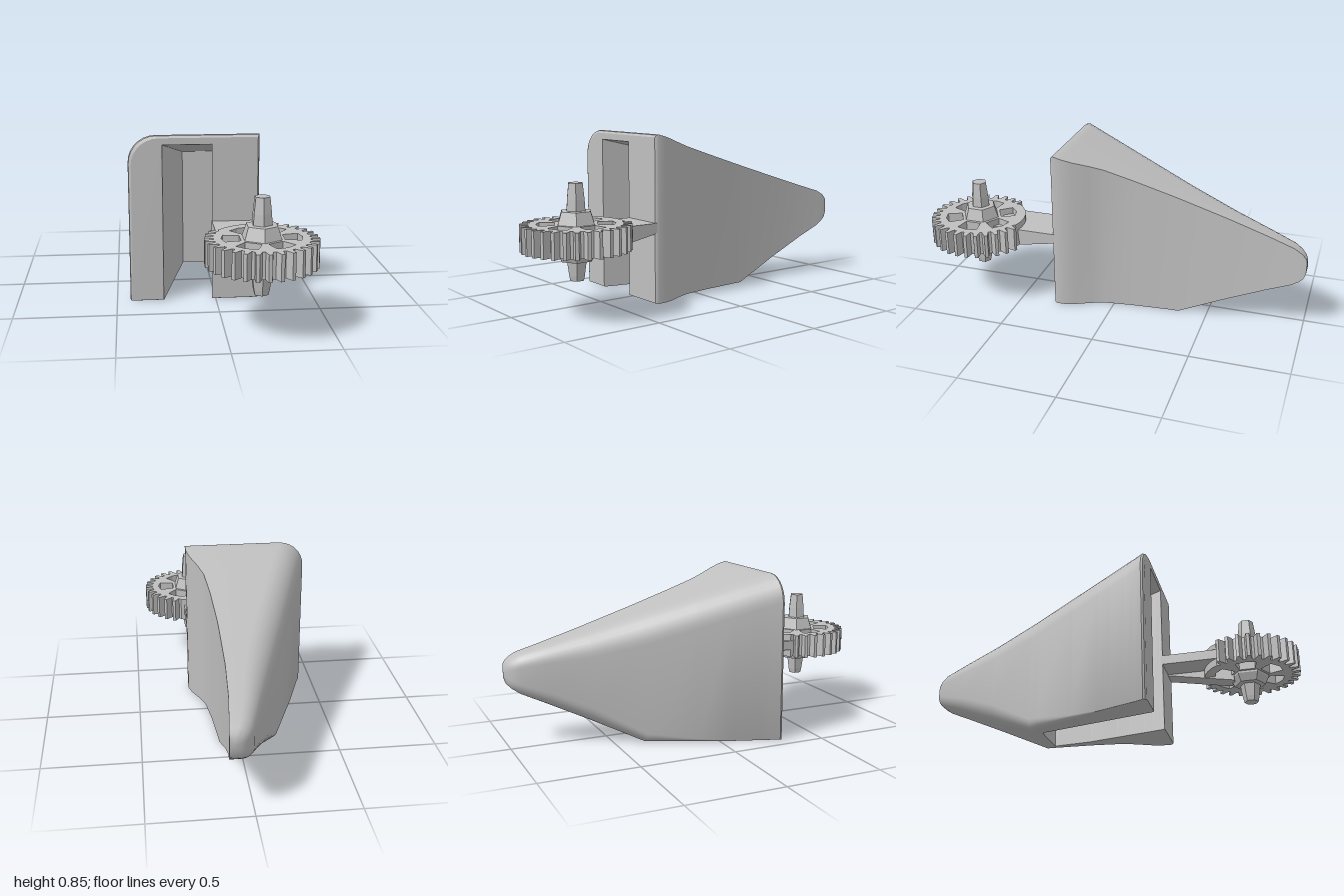
import * as THREE from 'three';
import { toCreasedNormals } from 'three/addons/utils/BufferGeometryUtils.js';

const lerp = THREE.MathUtils.lerp;
const SLOT_BACK = -0.3;
const FRONT = 0.31;

// Right wall of the housing, as x for each z
const rightWall = [[0.31, 0.215], [0.25, 0.215], [0.2, 0.2], [0.12, 0.162], [0.05, 0.136], [-0.1, 0.117],
  [-0.3, 0.102], [-0.35, 0.1], [-0.6, 0.095], [-0.8, 0.102], [-0.93, 0.115]];

// Stations from front to back: z, left, right, top, bottom
function housingStations() {
  const rows = rightWall.map(([z, right]) => [
    z, -0.43 + (0.295 - z) * 0.351, right, 0.848 - (0.29 - z) * 0.311, Math.max(0, (-0.35 - z) * 0.458),
  ]);
  rows[0] = [0.31, -0.418, 0.208, 0.833, 0.003];
  rows.splice(1, 0, [0.303, -0.43, 0.214, 0.844, 0], [0.293, -0.433, 0.217, 0.847, 0]);
  rows.push([-0.965, 0.022, 0.119, 0.448, 0.29], [-0.985, 0.045, 0.12, 0.43, 0.31],
    [-0.996, 0.068, 0.12, 0.41, 0.34]);
  return rows;
}

// Clockwise outline of one section, with a notch for the slot
function section([z, left, right, top, bottom], open) {
  const pts = [];
  const w = right - left, h = top - bottom;
  const rTop = Math.min(0.135, w * 0.55, h * 0.4);
  const rLow = Math.min(THREE.MathUtils.clamp((0.05 - z) * 0.13, 0.002, 0.08), w * 0.5, h * 0.4);
  const arc = (cx, cy, r, from, to) => {
    for (let i = 0; i <= 7; i++) {
      const a = lerp(from, to, i / 7);
      pts.push([cx + r * Math.cos(a), cy + r * Math.sin(a), z]);
    }
  };
  arc(left + rLow, bottom + rLow, rLow, Math.PI * 1.5, Math.PI);
  arc(left + rTop, top - rTop, rTop, Math.PI, Math.PI / 2);
  pts.push([right, top, z], [right, bottom, z]);
  const t = (FRONT - z) / (FRONT - SLOT_BACK);
  let sl = lerp(-0.265, -0.13, t), sr = Math.min(lerp(-0.02, 0.1, t), right - 0.025);
  const st = open ? lerp(0.8, 0.65, t) : bottom;
  if (z < SLOT_BACK) {
    sl = left + Math.max(rLow, w * 0.4);
    sr = left + w * 0.8;
  }
  pts.push([sr, bottom, z], [sr, st, z], [sl, st, z], [sl, bottom, z]);
  return pts;
}

function housing(material) {
  const loops = [];
  for (const row of housingStations()) {
    if (row[0] >= SLOT_BACK) loops.push(section(row, true));
    // A second loop at the same depth forms the back wall of the slot
    if (row[0] <= SLOT_BACK) loops.push(section(row, false));
  }
  const n = loops[0].length;
  loops.push(Array.from({ length: n }, () => [0.1, 0.375, -1]));
  const positions = loops.flat(2), index = [];
  for (let s = 0; s < loops.length - 1; s++) {
    for (let i = 0; i < n; i++) {
      const j = (i + 1) % n;
      const a = s * n + i, b = s * n + j, c = b + n, d = a + n;
      index.push(a, b, d, b, c, d);
    }
  }
  const shell = new THREE.BufferGeometry();
  shell.setAttribute('position', new THREE.Float32BufferAttribute(positions, 3));
  shell.setIndex(index);
  const group = new THREE.Group();
  group.name = 'housing';
  group.add(part('housingShell', toCreasedNormals(shell, 0.6), material));

  const face = new THREE.Shape(loops[0].map(([x, y]) => new THREE.Vector2(x, y)));
  const frontFace = part('frontFace', new THREE.ShapeGeometry(face), material);
  frontFace.position.z = FRONT;
  group.add(frontFace);
  return group;
}

function part(name, geometry, material) {
  const mesh = new THREE.Mesh(geometry, material);
  mesh.name = name;
  return mesh;
}

function gearWheel(material) {
  const polar = (r, deg) => new THREE.Vector2(
    r * Math.cos(THREE.MathUtils.degToRad(deg)), r * Math.sin(THREE.MathUtils.degToRad(deg)));
  const outline = [];
  const teeth = 30, step = 360 / teeth;
  for (let i = 0; i < teeth; i++) {
    const a = i * step + 6;
    if (a > 76 && a < 146) {
      // Plain rim where the wheel meets the arm
      outline.push(polar(0.236, a - 4), polar(0.236, a + 4));
    } else {
      outline.push(polar(0.222, a - 4.2), polar(0.264, a - 1.8), polar(0.264, a + 1.8), polar(0.222, a + 4.2));
    }
  }
  const shape = new THREE.Shape(outline);
  // Six windows between the spokes
  for (let i = 0; i < 6; i++) {
    const a = i * 60;
    shape.holes.push(new THREE.Path([
      polar(0.108, a - 22), polar(0.108, a + 22), polar(0.182, a + 17), polar(0.187, a), polar(0.182, a - 17)]));
  }
  const geometry = new THREE.ExtrudeGeometry(shape, { depth: 0.125, bevelEnabled: false });
  geometry.rotateX(-Math.PI / 2);
  const mesh = part('gearWheel', geometry, material);
  mesh.position.y = 0.32;
  return mesh;
}

// Faceted hub and spindle in one turned profile
function hub(material) {
  const profile = [[0, 0.175], [0.036, 0.175], [0.042, 0.2], [0.052, 0.267], [0.08, 0.27], [0.1, 0.31],
    [0.1, 0.44], [0.08, 0.5], [0.078, 0.506], [0.05, 0.508], [0.047, 0.56], [0.038, 0.638], [0, 0.638]];
  const geometry = new THREE.LatheGeometry(profile.map(([x, y]) => new THREE.Vector2(x, y)), 6).toNonIndexed();
  geometry.computeVertexNormals();
  return part('hub', geometry, material);
}

export function createModel() {
  const model = new THREE.Group();
  model.name = 'gearAndHousing';
  const grey = new THREE.MeshStandardMaterial({ color: 0xbfbfbf });
  grey.name = 'grey';
  model.add(housing(grey));

  // Flat arm from the housing to the wheel
  const arm = part('arm', new THREE.BoxGeometry(0.235, 0.05, 0.35), grey);
  arm.position.set(0.0975, 0.385, 0.475);
  model.add(arm);

  // Sloping rib under the arm
  const ribShape = new THREE.Shape([[-0.31, 0.355], [-0.66, 0.29], [-0.66, 0.37], [-0.31, 0.37]]
    .map(([x, y]) => new THREE.Vector2(x, y)));
  const rib = part('armRib', new THREE.ExtrudeGeometry(ribShape, { depth: 0.09, bevelEnabled: false }), grey);
  rib.rotation.y = Math.PI / 2;
  rib.position.x = 0.12;
  model.add(rib);

  const gear = new THREE.Group();
  gear.name = 'gear';
  gear.add(gearWheel(grey), hub(grey));
  gear.position.set(0.168, 0, 0.736);
  model.add(gear);
  return model;
}
